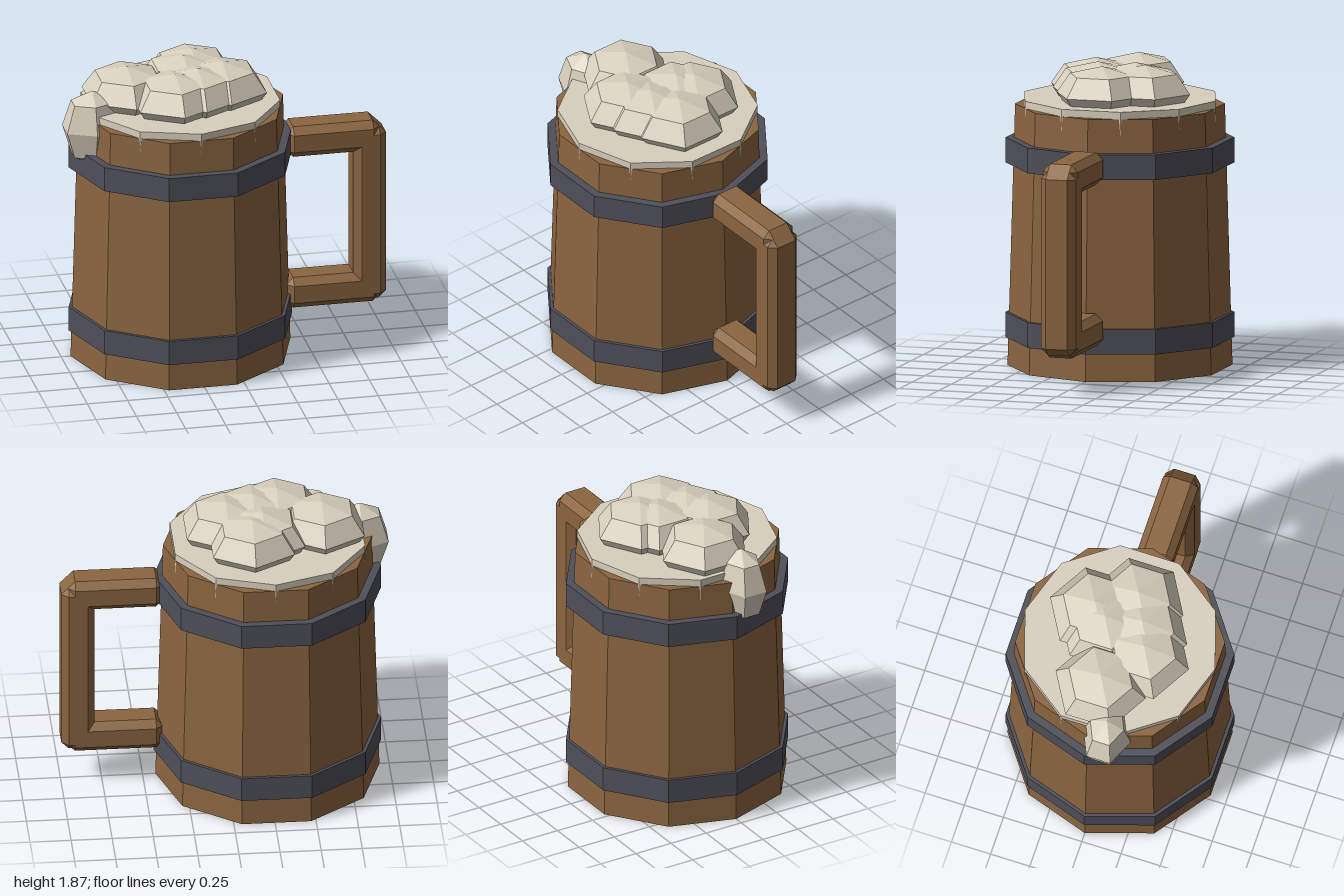
import * as THREE from 'three';
import { ConvexGeometry } from 'three/addons/geometries/ConvexGeometry.js';

const mat = (name, color) => {
  const m = new THREE.MeshStandardMaterial({ color, flatShading: true });
  m.name = name;
  return m;
};

// Box with every edge and corner cut by k, given its extents
function chamferedBox(x0, x1, y0, y1, z0, z1, k) {
  const c = [(x0 + x1) / 2, (y0 + y1) / 2, (z0 + z1) / 2];
  const h = [(x1 - x0) / 2, (y1 - y0) / 2, (z1 - z0) / 2];
  const pts = [];
  for (let axis = 0; axis < 3; axis++)
    for (const sx of [-1, 1]) for (const sy of [-1, 1]) for (const sz of [-1, 1]) {
      const s = [sx, sy, sz];
      pts.push(new THREE.Vector3(...h.map((v, i) => c[i] + s[i] * (i === axis ? v : v - k))));
    }
  return new ConvexGeometry(pts);
}

export function createModel() {
  const wood = mat('wood', 0x8b6540);
  const iron = mat('iron', 0x4f4f5a);
  const foam = mat('foam', 0xd9d0be);

  const model = new THREE.Group();
  model.name = 'mug';
  const CX = -0.26; // axis of the barrel

  const add = (name, geo, material, x = 0, y = 0, z = 0, parent = model) => {
    const mesh = new THREE.Mesh(geo, material);
    mesh.name = name;
    mesh.position.set(x, y, z);
    parent.add(mesh);
    return mesh;
  };
  // Ten-sided drum between two heights
  const drum = (name, rTop, rBottom, y0, y1, material, start) =>
    add(name, new THREE.CylinderGeometry(rTop, rBottom, y1 - y0, 10, 1, false, start),
      material, CX, (y0 + y1) / 2, 0);

  // Barrel and iron hoops
  drum('barrel', 0.636, 0.682, 0, 1.605, wood, Math.PI / 2);
  drum('lowerHoop', 0.693, 0.693, 0.17, 0.325, iron, Math.PI / 2);
  drum('upperHoop', 0.693, 0.693, 1.243, 1.398, iron, Math.PI / 2);

  // Foam layer, turned half a side so its corners break through the staves
  drum('foamLayer', 0.6075, 0.6075, 1.45, 1.65, foam, 0);

  // Handle of three chamfered bars
  const handle = new THREE.Group();
  handle.name = 'handle';
  model.add(handle);
  const K = 0.044, W = 0.112;
  add('handleTop', chamferedBox(0.38, 0.96, 1.217, 1.415, -W, W, K), wood, 0, 0, 0, handle);
  add('handleBottom', chamferedBox(0.38, 0.96, 0.225, 0.423, -W, W, K), wood, 0, 0, 0, handle);
  add('handleGrip', chamferedBox(0.797, 1, 0.245, 1.375, -W, W, K), wood, 0, 0, 0, handle);

  // Foam bubbles: six-sided low spheres
  const bubbles = new THREE.Group();
  bubbles.name = 'foamBubbles';
  model.add(bubbles);
  const ball = new THREE.SphereGeometry(1, 6, 4);
  ball.rotateY(Math.PI / 2);
  const bubble = (name, x, y, z, rx, ry, rz) =>
    add(name, ball, foam, x, y, z, bubbles).scale.set(rx, ry, rz);
  const spots = [
    [-0.01, 0.035], [-0.15, -0.195], [-0.59, -0.015],
    [-0.33, 0.175], [-0.18, 0.115], [-0.22, -0.11],
  ];
  spots.forEach(([x, z], i) => bubble('bubble' + (i + 1), x, 1.7, z, 0.287, 0.17, 0.287));

  // Foam spilling over the rim
  bubble('foamSpill', -0.83, 1.54, 0.105, 0.197, 0.24, 0.152);

  return model;
}
